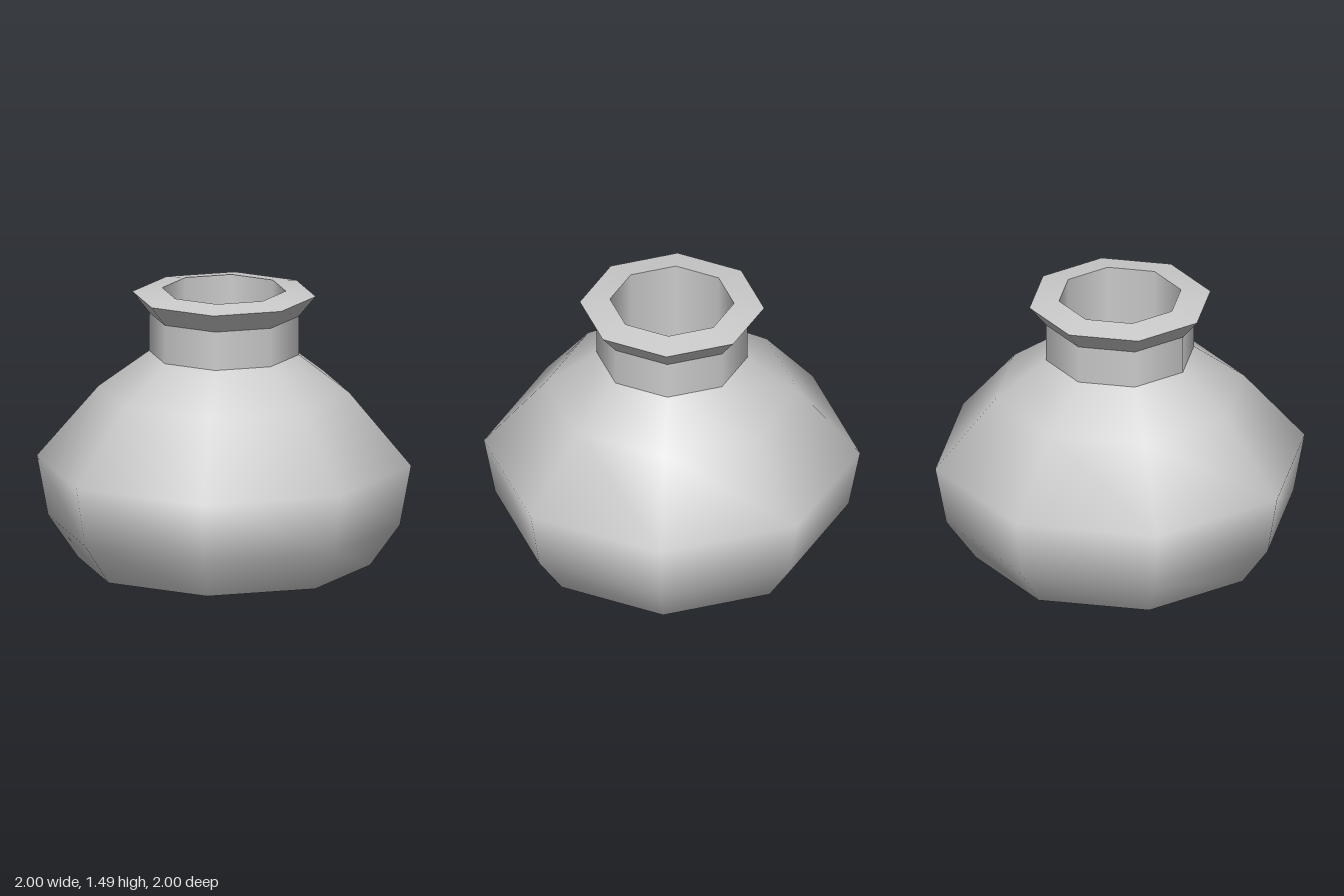
import * as THREE from 'three';

const SIDES = 8;
const material = new THREE.MeshStandardMaterial({ color: 0xcccccc });

// Eight-sided turned band; each band has its own normals, so joins stay sharp
function band(name, profile) {
  const points = profile.map(([r, y]) => new THREE.Vector2(r, y));
  const mesh = new THREE.Mesh(new THREE.LatheGeometry(points, SIDES), material);
  mesh.name = name;
  return mesh;
}

export function createModel() {
  const pot = new THREE.Group();
  pot.name = 'pot';
  const floorY = 1.0;

  pot.add(
    band('base', [[0, 0], [0.78, 0]]),
    band('body', [[0.78, 0], [0.94, 0.225], [1, 0.55], [0.67, 0.94], [0.4, 1.14]]),
    band('neck', [[0.4, 1.14], [0.4, 1.35]]),
    band('flare', [[0.4, 1.35], [0.49, 1.46]]),
    band('rim', [[0.49, 1.46], [0.33, 1.485]]),
    // Inside of the mouth
    band('mouthWall', [[0.33, 1.485], [0.33, floorY]]),
    band('mouthFloor', [[0.33, floorY], [0, floorY]]),
  );
  return pot;
}
